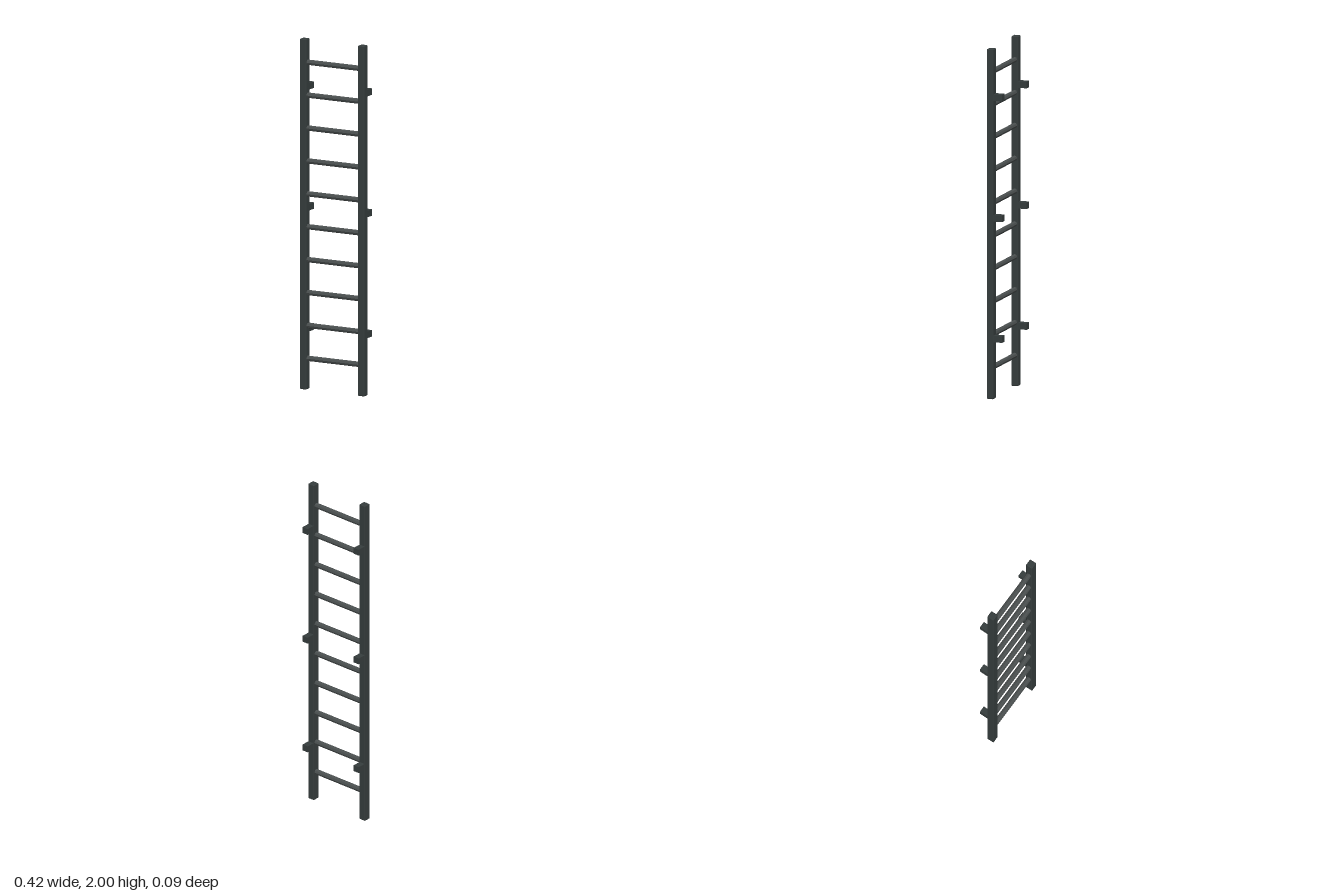
import * as THREE from 'three';

const RAIL_X = 0.188, RAIL_Z = 0.0255, RAIL_W = 0.041, HEIGHT = 2, CHAMFER = 0.004;

// Upright post with chamfered long edges and ends
function railGeometry() {
  const h = RAIL_W / 2 - CHAMFER, k = 0.0001;
  const s = new THREE.Shape([
    [h - k, -h], [h, -h + k], [h, h - k], [h - k, h],
    [-h + k, h], [-h, h - k], [-h, -h + k], [-h + k, -h],
  ].map(([x, y]) => new THREE.Vector2(x, y)));
  const g = new THREE.ExtrudeGeometry(s, {
    depth: HEIGHT - 2 * CHAMFER, bevelEnabled: true,
    bevelThickness: CHAMFER, bevelSize: CHAMFER, bevelSegments: 1,
  });
  return g.translate(0, 0, CHAMFER).rotateX(-Math.PI / 2);
}

export function createModel() {
  const group = new THREE.Group();
  group.name = 'ladder';
  const railPaint = new THREE.MeshStandardMaterial({ color: 0x363d3d });
  railPaint.name = 'dark iron';
  const rungPaint = new THREE.MeshStandardMaterial({ color: 0x4a4f4f, flatShading: true });
  rungPaint.name = 'worn iron';

  const add = (name, geometry, material, x, y, z) => {
    const mesh = new THREE.Mesh(geometry, material);
    mesh.name = name;
    mesh.position.set(x, y, z);
    group.add(mesh);
  };

  // Side rails and their wall brackets
  const rail = railGeometry();
  const bracket = new THREE.BoxGeometry(0.037, 0.037, 0.059);
  for (const [side, sign] of [['left', 1], ['right', -1]]) {
    add(side + 'Rail', rail, railPaint, sign * RAIL_X, 0, RAIL_Z);
    for (let i = 0; i < 3; i++)
      add(side + 'Bracket' + (i + 1), bracket, railPaint, sign * RAIL_X, 0.345 + i * 0.69, -0.0165);
  }

  // Octagonal rungs
  const rung = new THREE.CylinderGeometry(0.0155, 0.0155, RAIL_X * 2, 8).rotateZ(Math.PI / 2);
  for (let i = 0; i < 10; i++)
    add('rung' + (i + 1), rung, rungPaint, 0, 0.176 + i * 0.1878, RAIL_Z);

  return group;
}
